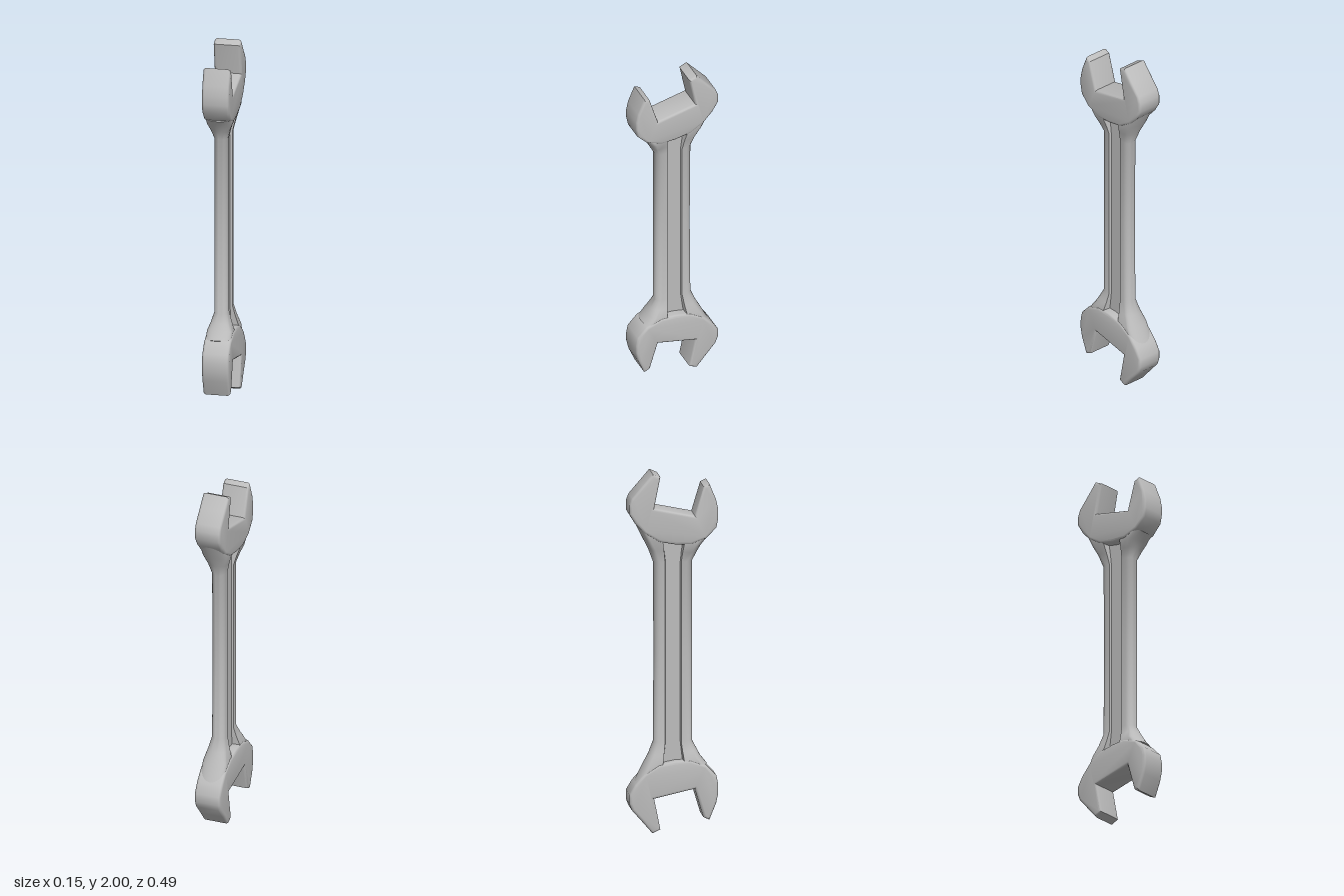
import * as THREE from 'three';
import { toCreasedNormals } from 'three/addons/utils/BufferGeometryUtils.js';

// Open jaw: side outline in (z, y), extruded across x with rounded rims
function headGeometry() {
  const outline = [
    [0.196, 1.935], [0.164, 1.92], [0.116, 1.76], [-0.106, 1.808], [-0.072, 1.98], [-0.115, 2.0],
    [-0.17, 1.935], [-0.228, 1.868], [-0.243, 1.83], [-0.243, 1.78], [-0.21, 1.725], [-0.16, 1.67],
    [-0.08, 1.62], [0.01, 1.603], [0.095, 1.6], [0.18, 1.632], [0.235, 1.69],
    [0.245, 1.74], [0.245, 1.79], [0.233, 1.845],
  ];
  const shape = new THREE.Shape(outline.map(([z, y]) => new THREE.Vector2(-z, y - 1)));
  const r = 0.015;
  const geo = new THREE.ExtrudeGeometry(shape, {
    depth: 0.15 - 2 * r, bevelEnabled: true, bevelThickness: r, bevelSize: r, bevelOffset: -r, bevelSegments: 3,
  });
  geo.translate(0, 0, -0.075 + r);
  geo.rotateY(Math.PI / 2);
  return toCreasedNormals(geo, 0.75);
}

// Cross-section of the shank in (z, x): rounded rims with a recessed panel on both faces
function section({ zf, zb, t, g, pf, pb }) {
  const half = [];
  const steps = 6, rim = 0.035;
  for (let i = 0; i <= steps; i++) {
    const a = (i / steps) * Math.PI / 2;
    half.push([zf - rim * (1 - Math.cos(a)), t * Math.sin(a)]);
  }
  half.push([pf, t], [pf - 0.004, g], [pb + 0.004, g], [pb, t]);
  for (let i = steps; i >= 0; i--) {
    const a = (i / steps) * Math.PI / 2;
    half.push([zb + rim * (1 - Math.cos(a)), t * Math.sin(a)]);
  }
  const other = half.slice(1, -1).reverse().map(([z, x]) => [z, -x]);
  return half.concat(other);
}

// Shank lofted along y, flaring into both heads
function shankGeometry() {
  const base = { g: 0.026, pf: 0.046, pb: -0.042 };
  const upper = [
    { ...base, y: 0.5, slant: 0, zf: 0.11, zb: -0.104, t: 0.038 },
    { ...base, y: 0.56, slant: -0.08, zf: 0.135, zb: -0.13, t: 0.053, pf: 0.052, pb: -0.05 },
    { ...base, y: 0.61, slant: -0.15, zf: 0.155, zb: -0.162, t: 0.069, pf: 0.058, pb: -0.058 },
    { ...base, y: 0.675, slant: -0.25, zf: 0.188, zb: -0.208, t: 0.071, pf: 0.058, pb: -0.058 },
    { ...base, y: 0.7, slant: -0.2, zf: 0.13, zb: -0.13, t: 0.06, pf: 0.058, pb: -0.058 },
  ];
  const lower = upper.map((s) => ({ ...s, y: -s.y, slant: -s.slant })).reverse();
  const rings = [...lower, { ...upper[0], y: 0, zb: -0.1 }, ...upper];

  const pos = [], index = [];
  let n = 0;
  rings.forEach((s) => {
    const pts = section(s);
    n = pts.length;
    pts.forEach(([z, x]) => pos.push(x, s.y + s.slant * z, z));
  });
  for (let j = 0; j < rings.length - 1; j++) {
    for (let i = 0; i < n; i++) {
      const a = j * n + i, b = j * n + (i + 1) % n;
      index.push(a, b, b + n, a, b + n, a + n);
    }
  }
  const geo = new THREE.BufferGeometry();
  geo.setAttribute('position', new THREE.Float32BufferAttribute(pos, 3));
  geo.setIndex(index);
  return toCreasedNormals(geo, 0.7);
}

export function createModel() {
  const steel = new THREE.MeshStandardMaterial({ color: 0xbcbcbc });
  steel.name = 'steel';

  const model = new THREE.Group();
  model.name = 'openEndWrench';

  const body = new THREE.Group();
  body.name = 'wrenchBody';
  body.position.y = 1;
  model.add(body);

  const shank = new THREE.Mesh(shankGeometry(), steel);
  shank.name = 'shank';
  body.add(shank);

  // Two matching jaws, the lower one turned over
  const jaw = headGeometry();
  ['upperJaw', 'lowerJaw'].forEach((name, i) => {
    const head = new THREE.Mesh(jaw, steel);
    head.name = name;
    head.rotation.z = i * Math.PI;
    body.add(head);
  });

  return model;
}
